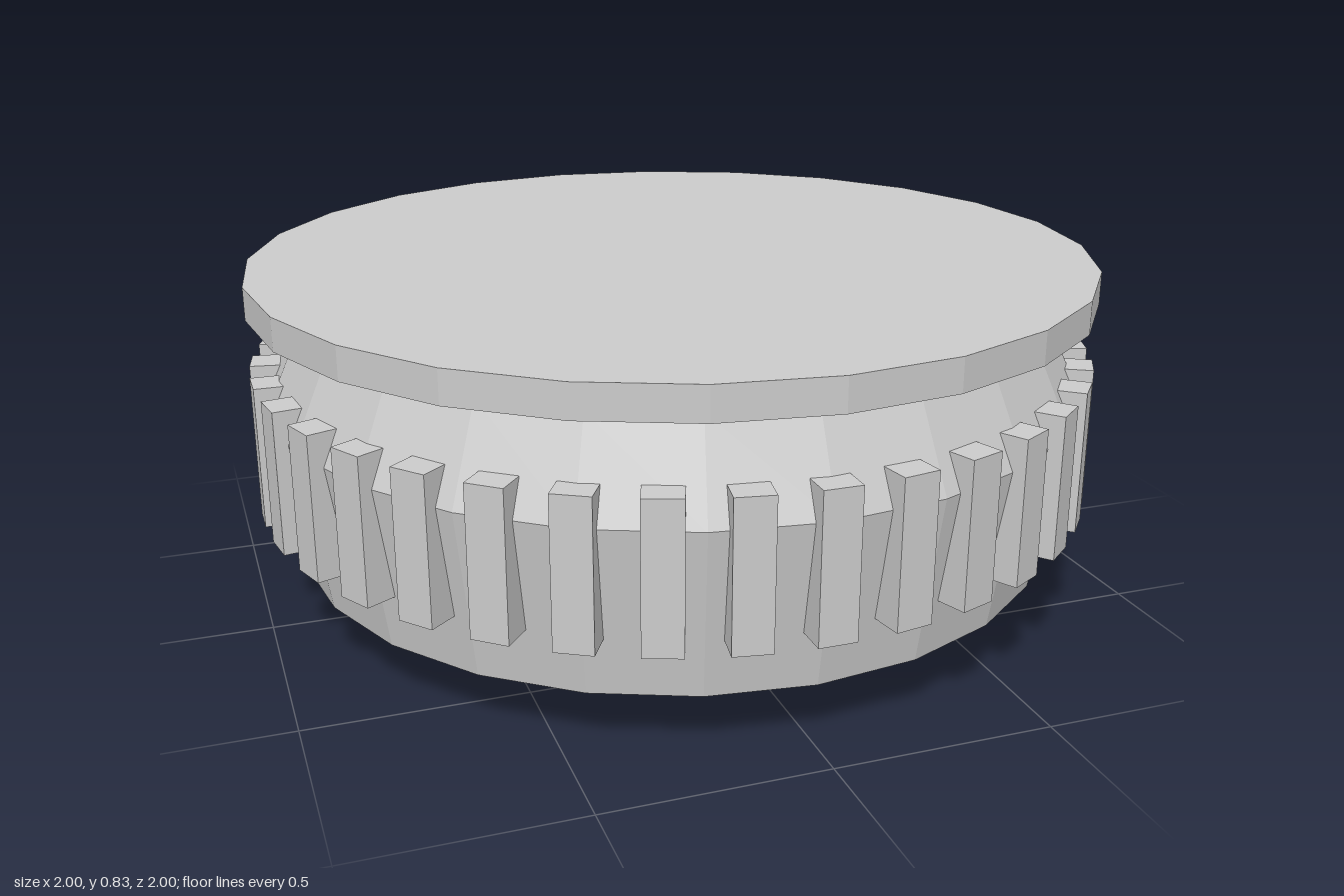
import * as THREE from 'three';

export function createModel() {
  const model = new THREE.Group();
  const solid = new THREE.MeshStandardMaterial({ color: 0xcccccc, flatShading: true });
  const thin = new THREE.MeshStandardMaterial({ color: 0xcccccc, flatShading: true, side: THREE.DoubleSide });

  const add = (parent, name, geometry, material) => {
    const mesh = new THREE.Mesh(geometry, material);
    mesh.name = name;
    parent.add(mesh);
    return mesh;
  };

  // Thin hollow body, open at the bottom, with a shallow shoulder under the lid
  const profile = [
    [0.61, 0], [0.91, 0.143], [0.975, 0.53], [0.88, 0.737], [0.5, 0.757],
  ].map(([r, y]) => new THREE.Vector2(r, y));
  add(model, 'bodyShell', new THREE.LatheGeometry(profile, 24), thin);

  // Flat overhanging lid
  const lid = add(model, 'lid', new THREE.CylinderGeometry(1, 1, 0.076, 24), solid);
  lid.position.y = 0.795;

  // Ring of grip ribs, passing through the shell wall
  const ribs = new THREE.Group();
  ribs.name = 'gripRibs';
  model.add(ribs);
  const ribGeometry = new THREE.BoxGeometry(0.085, 0.333, 0.1);
  ribGeometry.translate(0, 0.443, 0.949);
  const ribCount = 36;
  for (let i = 0; i < ribCount; i++) {
    const rib = add(ribs, 'gripRib', ribGeometry, solid);
    rib.rotation.y = (i / ribCount) * Math.PI * 2;
  }

  return model;
}
